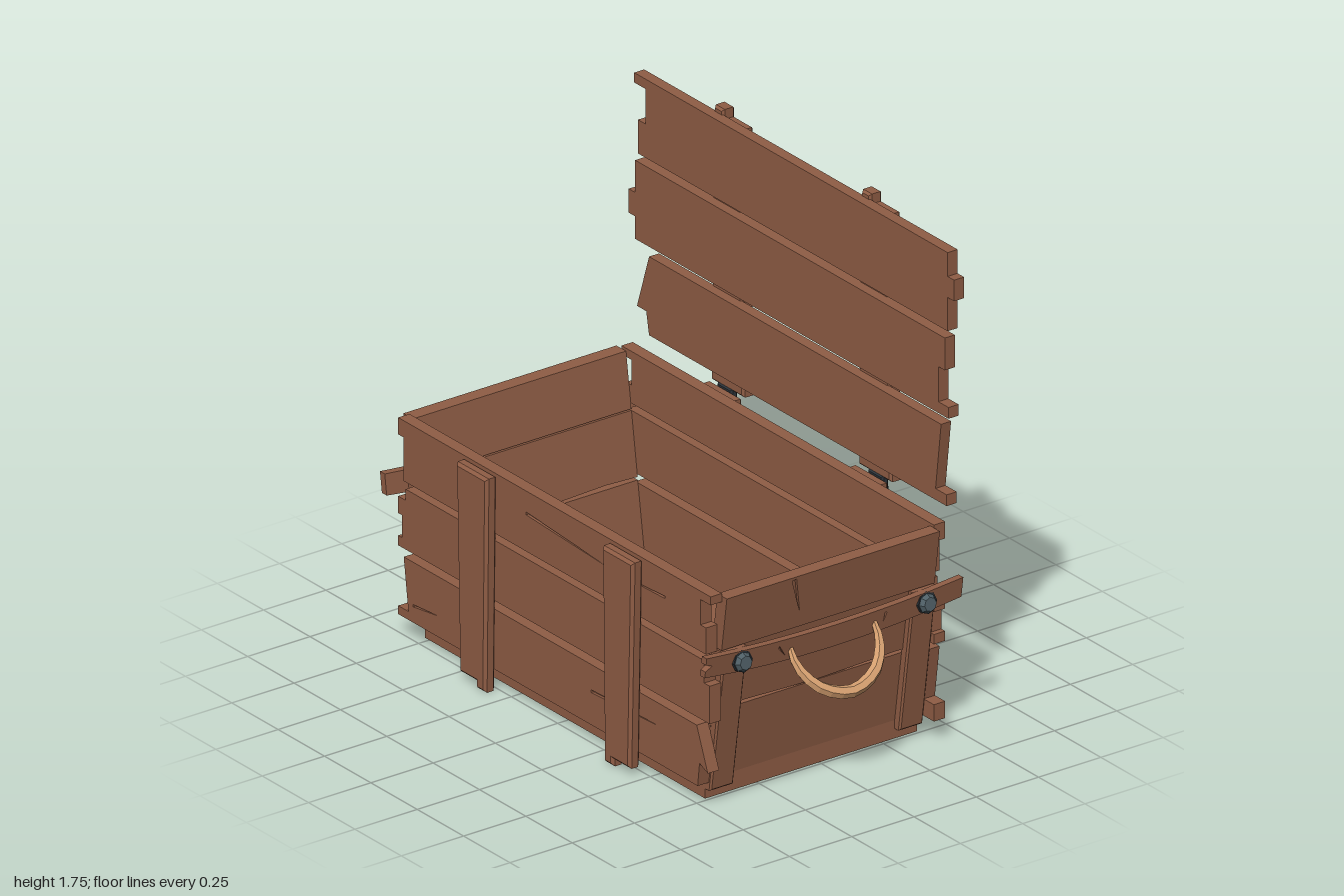
import * as THREE from 'three';
import { mergeGeometries } from 'three/addons/utils/BufferGeometryUtils.js';

const mat = (name, color) => Object.assign(new THREE.MeshStandardMaterial({ color, flatShading: true }), { name });

// Outline (x, y pairs) with optional crack slits [x0, y0, x1, y1, width]
function outline(pts, cracks = []) {
  const shape = new THREE.Shape(pts.map(p => new THREE.Vector2(...p)));
  for (const [x0, y0, x1, y1, w] of cracks) {
    const a = new THREE.Vector2(x0, y0), b = new THREE.Vector2(x1, y1);
    const n = b.clone().sub(a).normalize().multiplyScalar(w / 2);
    shape.holes.push(new THREE.Path([
      new THREE.Vector2(a.x - n.y, a.y + n.x), b, new THREE.Vector2(a.x + n.y, a.y - n.x)]));
  }
  return shape;
}

const extrude = (shape, z0, z1, bevel = 0) => new THREE.ExtrudeGeometry(shape, {
  depth: z1 - z0 - bevel * 2, bevelEnabled: bevel > 0, bevelSize: bevel, bevelOffset: -bevel,
  bevelThickness: bevel, bevelSegments: 1, steps: 1,
}).translate(0, 0, z0 + bevel);

// Plank between z0 and z1; cracks are shallow grooves on its front (face = 1) or back (face = -1)
function plank(pts, z0, z1, cracks = [], face = 1) {
  if (!cracks.length) return extrude(outline(pts), z0, z1);
  const cut = face > 0 ? z1 - 0.01 : z0 + 0.01;
  return mergeGeometries([
    extrude(outline(pts, face < 0 ? cracks : []), z0, cut),
    extrude(outline(pts, face > 0 ? cracks : []), cut, z1),
  ]);
}

const rect = (x0, y0, x1, y1) => [[x0, y0], [x1, y0], [x1, y1], [x0, y1]];

export function createModel() {
  const wood = mat('wood', 0x8f5d45);
  const iron = mat('darkIron', 0x2b3238);
  const steel = mat('boltSteel', 0x4f5f66);
  const rope = mat('handleTan', 0xd6a070);
  const model = new THREE.Group();
  model.name = 'crate';
  const add = (parent, name, geo, material) => {
    const m = new THREE.Mesh(geo, material);
    m.name = name;
    parent.add(m);
    return m;
  };

  // Base
  add(model, 'base', new THREE.BoxGeometry(1.51, 0.065, 0.85).translate(0, 0.0475, 0.045), wood);

  // Front and back walls, three ragged planks each
  const walls = [
    [[[-0.77, 0.08], [0.775, 0.08], [0.785, 0.165], [0.83, 0.145], [0.77, 0.295], [-0.81, 0.295],
      [-0.785, 0.11], [-0.84, 0.11], [-0.84, 0.08]],
    [[0.2, 0.2, 0.58, 0.215, 0.01], [-0.76, 0.14, -0.62, 0.155, 0.008], [0.3, 0.19, 0.42, 0.17, 0.006]]],
    [[[-0.84, 0.325], [0.84, 0.325], [0.84, 0.46], [0.81, 0.46], [0.81, 0.54], [-0.80, 0.54],
      [-0.80, 0.50], [-0.84, 0.50], [-0.84, 0.44], [-0.82, 0.44], [-0.82, 0.36], [-0.84, 0.36]], []],
    [[[-0.81, 0.565], [0.82, 0.565], [0.82, 0.66], [0.79, 0.66], [0.79, 0.75], [0.845, 0.75],
      [0.845, 0.78], [-0.84, 0.78], [-0.84, 0.72], [-0.81, 0.72]],
    [[-0.15, 0.70, 0.3, 0.675, 0.01], [0.6, 0.685, 0.28, 0.672, 0.008]]],
  ];
  const backCracks = [
    [[-0.7, 0.2, -0.5, 0.21, 0.01], [0.25, 0.15, -0.1, 0.17, 0.01], [0.7, 0.22, 0.52, 0.21, 0.008]],
    [[-0.2, 0.42, 0.2, 0.44, 0.01], [0.74, 0.45, 0.55, 0.44, 0.01]],
    [[0.2, 0.68, -0.2, 0.66, 0.01], [-0.72, 0.64, -0.54, 0.65, 0.008]],
  ];
  walls.forEach(([pts, cracks], i) => {
    add(model, 'frontPlank', plank(pts, 0.47, 0.515, cracks), wood);
    // The back boards sit a little higher at their joints
    const lift = pts.map(([x, y]) => [-x, y > 0.1 && y < 0.6 ? y + 0.03 : y]).reverse();
    add(model, 'backPlank', plank(lift, -0.43, -0.385, backCracks[i], -1), wood);
  });

  // Upright battens on the front and back walls
  for (const s of [-1, 1]) {
    const pts = [[0.32, 0.005], [0.37, 0.005], [0.37, 0.03], [0.46, 0.03], [0.478, 0.77], [0.31, 0.77]]
      .map(([x, y]) => [x * s, y]);
    add(model, 'frontBatten', extrude(outline(pts), 0.51, 0.555, 0.01), wood);
    add(model, 'backBatten', extrude(outline(pts), -0.475, -0.425, 0.01), wood);
  }

  // Sloping end walls with battens, strap, bolts and handle
  const slope = geo => {
    geo.rotateY(Math.PI / 2);
    const p = geo.attributes.position;
    for (let i = 0; i < p.count; i++) p.setX(i, p.getX(i) + 0.72 + 0.145 * (p.getY(i) - 0.08));
    geo.computeVertexNormals();
    return geo;
  };
  const strap = [];
  for (let i = 0; i <= 8; i++) {
    const x = -0.515 + i * 0.12875;
    strap.push([x, 0.477 + 0.035 * (x / 0.515) ** 2]);
  }
  for (let i = 8; i >= 0; i--) {
    const x = -0.515 + i * 0.12875;
    strap.push([x, 0.558 + 0.027 * (x / 0.515) ** 2]);
  }
  strap.push([-0.515, 0.56], [-0.49, 0.55], [-0.515, 0.535]);
  const grip = new THREE.CatmullRomCurve3([
    [0.865, 0.52, -0.168], [0.9, 0.465, -0.165], [0.95, 0.395, -0.11], [0.973, 0.36, 0],
    [0.95, 0.395, 0.11], [0.9, 0.465, 0.165], [0.865, 0.52, 0.168],
  ].map(p => new THREE.Vector3(...p)));

  for (const s of [-1, 1]) {
    const end = new THREE.Group();
    end.name = s > 0 ? 'leftEnd' : 'rightEnd';
    end.position.z = 0.0425;
    end.rotation.y = s > 0 ? 0 : Math.PI;
    model.add(end);
    const w = 0.4275;
    add(end, 'endPlank', slope(plank(rect(-w, 0.08, w, 0.335), 0, 0.035)), wood);
    add(end, 'endPlank', slope(plank(
      [[-w, 0.345], [-0.3, 0.35], [0, 0.34], [0.3, 0.35], [w, 0.345], [w, 0.57], [-w, 0.57]], 0, 0.04)), wood);
    add(end, 'endPlank', slope(plank(rect(-w, 0.575, w, 0.77), 0, 0.052,
      [[-0.155, 0.76, -0.12, 0.63, 0.018]])), wood);
    for (const x of [-0.38, 0.38])
      add(end, 'endBatten', slope(extrude(outline(rect(x - 0.0475, 0.05, x + 0.0475, 0.57)), 0.03, 0.066, 0.006)), wood);
    add(end, 'strap', slope(plank(strap, 0.062, 0.088,
      [[-0.22, 0.54, -0.19, 0.5, 0.008], [0.21, 0.545, 0.2, 0.51, 0.008]])), wood);
    for (const z of [-0.37, 0.37]) {
      add(end, 'boltWasher', new THREE.CylinderGeometry(0.038, 0.038, 0.012, 8)
        .rotateZ(-Math.PI / 2 + 0.144).translate(0.878, 0.535, z), iron);
      add(end, 'boltHead', new THREE.CylinderGeometry(0.024, 0.034, 0.016, 8)
        .rotateZ(-Math.PI / 2 + 0.144).translate(0.892, 0.535, z), steel);
    }
    // Handle thins toward its ends
    const geo = new THREE.TubeGeometry(grip, 14, 0.022, 6);
    const p = geo.attributes.position, v = new THREE.Vector3();
    for (let i = 0; i < p.count; i++) {
      const u = Math.floor(i / 7) / 14;
      v.fromBufferAttribute(p, i).lerp(grip.getPointAt(u), 0.55 * Math.abs(2 * u - 1) ** 3);
      p.setXYZ(i, v.x, v.y, v.z);
    }
    add(end, 'handle', geo, rope);
  }

  // Open lid: three ragged planks
  const lid = new THREE.Group();
  lid.name = 'lid';
  model.add(lid);
  const lidPlanks = [
    [[-0.77, 1.11], [-0.835, 0.91], [-0.785, 0.91], [-0.77, 0.83], [0.835, 0.83], [0.835, 0.87],
      [0.775, 0.87], [0.805, 1.11]],
    [[-0.845, 1.425], [-0.845, 1.31], [-0.88, 1.31], [-0.88, 1.225], [-0.845, 1.225], [-0.845, 1.145],
      [0.845, 1.145], [0.845, 1.185], [0.79, 1.185], [0.79, 1.31], [0.825, 1.31], [0.825, 1.425]],
    [[-0.85, 1.735], [-0.85, 1.7], [-0.79, 1.7], [-0.79, 1.575], [-0.83, 1.575], [-0.83, 1.455],
      [0.84, 1.455], [0.84, 1.575], [0.875, 1.575], [0.875, 1.65], [0.84, 1.65], [0.84, 1.735]],
  ];
  lidPlanks.forEach((pts, i) => {
    const y = 0.97 + i * 0.3125, k = i % 2 ? -1 : 1;
    add(lid, 'lidPlank', plank(pts, -0.48, -0.44, [
      [-0.25 * k, y + 0.03, 0.15 * k, y + 0.01, 0.01], [0.73, y - 0.05, 0.53, y - 0.04, 0.01],
      [-0.72, y + 0.06, -0.54, y + 0.05, 0.008], [0.22 * k, y - 0.06, -0.05 * k, y - 0.07, 0.008],
    ], -1), wood);
  });

  // Lid battens and hinges
  for (const x of [-0.397, 0.397]) {
    const batten = [[-0.088, 0.77], [0.088, 0.77], [0.078, 1.15], [0.078, 1.72], [-0.022, 1.72],
      [-0.022, 1.755], [-0.07, 1.755], [-0.078, 1.72]].map(([a, b]) => [a + x, b]);
    add(lid, 'lidBatten', extrude(outline(batten), -0.525, -0.475, 0.008), wood);

    const hinge = new THREE.Group();
    hinge.name = 'hinge';
    hinge.position.x = x + Math.sign(x) * 0.01;
    model.add(hinge);
    add(hinge, 'upperPlate', extrude(outline([[-0.045, 0.77], [0.045, 0.77], [0.06, 0.86], [0.06, 0.97],
      [0.035, 1], [-0.035, 1], [-0.06, 0.97], [-0.06, 0.86]]), -0.545, -0.52, 0.008), iron);
    add(hinge, 'lowerPlate', extrude(outline([[-0.025, 0.65], [0.025, 0.65], [0.045, 0.675], [0.04, 0.78],
      [-0.04, 0.78], [-0.045, 0.675]]), -0.498, -0.47, 0.007), iron);
    add(hinge, 'knuckle', new THREE.CylinderGeometry(0.022, 0.022, 0.09, 8)
      .rotateZ(Math.PI / 2).translate(0, 0.778, -0.515), iron);
    for (const [y, z, r] of [[0.94, -0.551, 0.04], [0.695, -0.506, 0.028]])
      add(hinge, 'hingeBolt', new THREE.CylinderGeometry(r, r * 0.7, 0.018, 8)
        .rotateX(Math.PI / 2).translate(0, y, z), steel);
  }
  return model;
}
